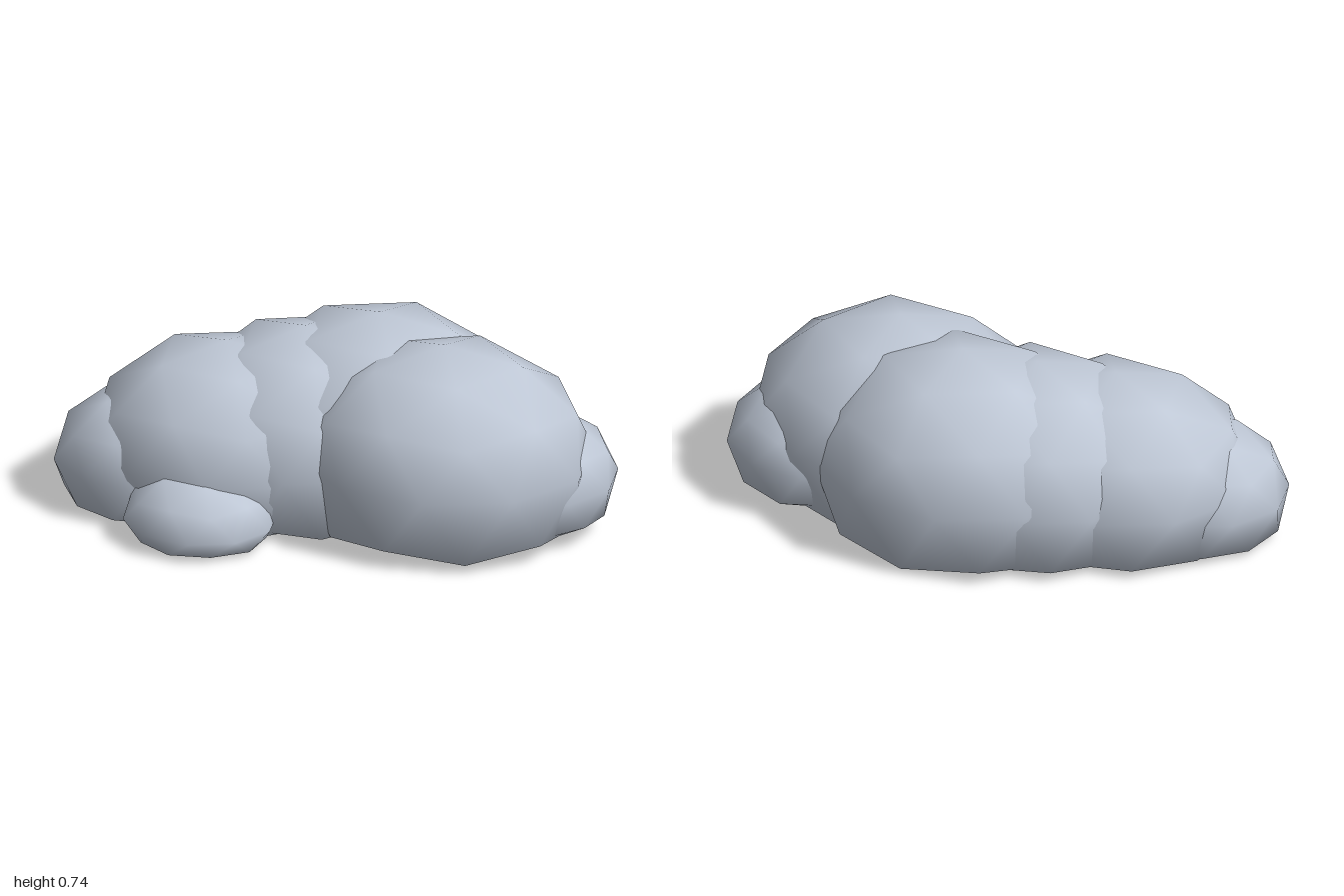
import * as THREE from 'three';
import { mergeVertices } from 'three/addons/utils/BufferGeometryUtils.js';

// name, centre [x, y, z], radii [x, y, z]
const PUFFS = [
  ['frontLeftPuff', [0.40, 0.31, 0.09], [0.54, 0.425, 0.44]],
  ['backPuff', [0.13, 0.30, -0.105], [0.545, 0.445, 0.46]],
  ['middlePuff', [-0.13, 0.275, -0.05], [0.48, 0.42, 0.44]],
  ['rightPuff', [-0.40, 0.25, 0.02], [0.50, 0.395, 0.415]],
  ['rightEndPuff', [-0.66, 0.18, 0.06], [0.36, 0.285, 0.29]],
  ['leftEndPuff', [0.685, 0.22, 0.02], [0.33, 0.25, 0.29]],
  ['smallFrontPuff', [-0.44, 0.09, 0.32], [0.28, 0.20, 0.24]],
];

// Low-poly ball with a vertex at the pole, squashed on to a nearly flat base
function puffGeometry([cx, cy, cz], [rx, ry, rz]) {
  let geometry = new THREE.IcosahedronGeometry(1, 1);
  geometry.deleteAttribute('normal');
  geometry.deleteAttribute('uv');
  geometry = mergeVertices(geometry, 1e-4);
  geometry.rotateX(-Math.atan2((1 + Math.sqrt(5)) / 2, 1));
  geometry.rotateY(Math.PI / 2);

  const base = 0.03;
  const p = geometry.attributes.position;
  for (let i = 0; i < p.count; i++) {
    const v = p.getY(i);
    let y = cy + v * ry * (v < 0 ? 1 + 0.45 * ry : 1);
    if (y < base) y = base + (y - base) * 0.09;
    p.setXYZ(i, cx + p.getX(i) * rx, y, cz + p.getZ(i) * rz);
  }
  geometry.computeVertexNormals();
  return geometry;
}

export function createModel() {
  const cloud = new THREE.Group();
  cloud.name = 'cloud';
  const paleGrey = new THREE.MeshStandardMaterial({ color: 0xbfc8d6 });
  paleGrey.name = 'paleBlueGrey';

  for (const [name, centre, radii] of PUFFS) {
    const puff = new THREE.Mesh(puffGeometry(centre, radii), paleGrey);
    puff.name = name;
    cloud.add(puff);
  }
  return cloud;
}
